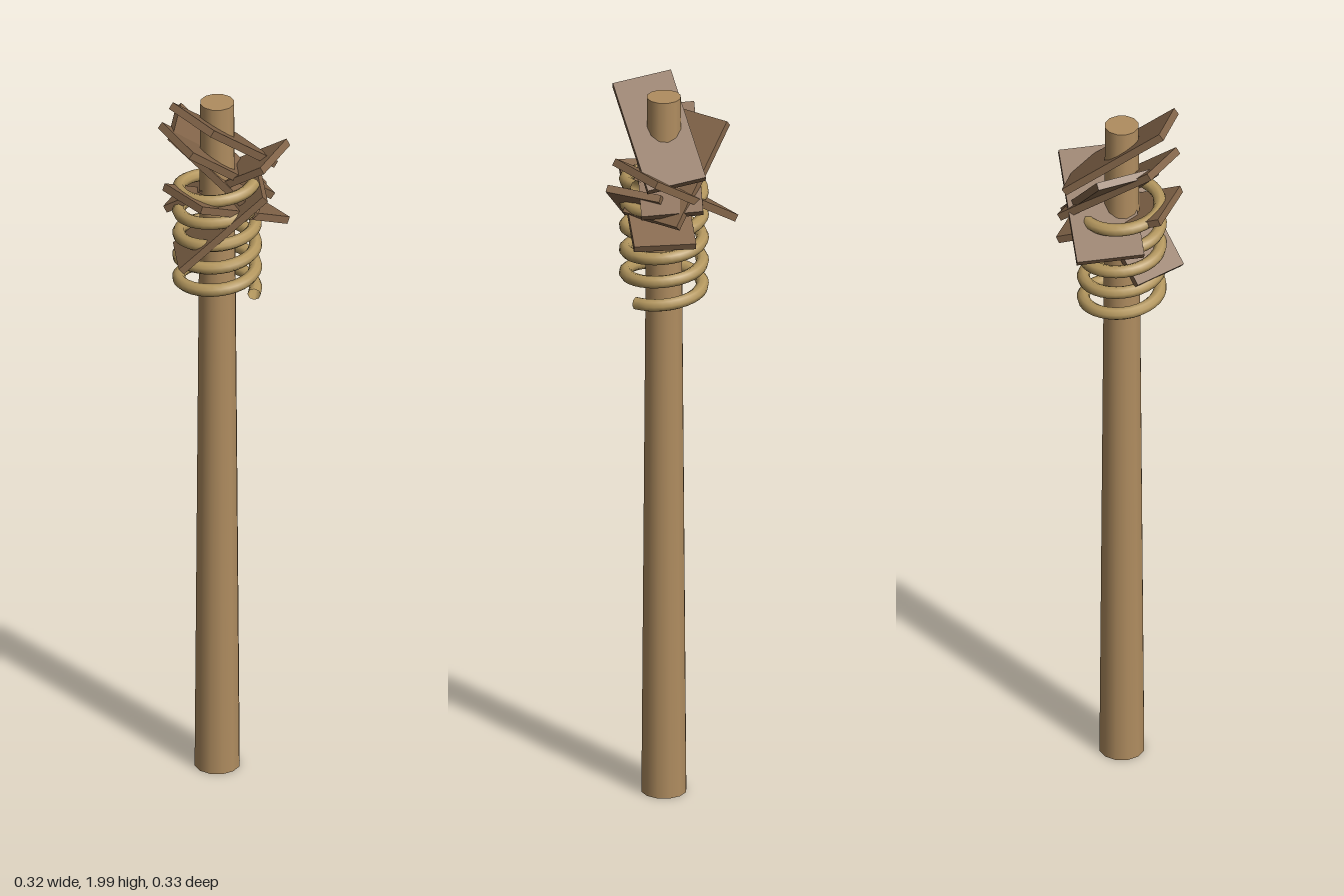
import * as THREE from 'three';

const mat = (color, extra = {}) => new THREE.MeshStandardMaterial({ color, ...extra });
const POLE_X = -0.012;

// A thin board given one corner, its short edge and its long edge
function board(corner, across, along, material) {
  const c = new THREE.Vector3(...corner);
  const a = new THREE.Vector3(...across);
  const l = new THREE.Vector3(...along);
  const centre = c.addScaledVector(a, 0.5).addScaledVector(l, 0.5);
  const zAxis = l.clone().normalize();
  const xAxis = a.clone().addScaledVector(zAxis, -a.dot(zAxis)).normalize();
  const yAxis = new THREE.Vector3().crossVectors(zAxis, xAxis);
  const mesh = new THREE.Mesh(new THREE.BoxGeometry(a.length(), 0.02, l.length()), material);
  mesh.quaternion.setFromRotationMatrix(new THREE.Matrix4().makeBasis(xAxis, yAxis, zAxis));
  mesh.position.copy(centre);
  return mesh;
}

export function createModel() {
  const group = new THREE.Group();

  // Tapered pole
  const pole = new THREE.Mesh(new THREE.CylinderGeometry(0.045, 0.06, 1.965, 12), mat(0xb08d60));
  pole.name = 'pole';
  pole.position.set(POLE_X, 1.965 / 2, 0);
  group.add(pole);

  // Rope wound loosely around the pole in five turns
  const turns = 5, points = [];
  for (let i = 0; i <= turns * 16; i++) {
    const t = i / 16, angle = t * Math.PI * 2;
    points.push(new THREE.Vector3(
      POLE_X + 0.1 * Math.cos(angle), 1.41 + 0.066 * t, -0.1 * Math.sin(angle)));
  }
  const rope = new THREE.Mesh(
    new THREE.TubeGeometry(new THREE.CatmullRomCurve3(points), turns * 32, 0.017, 8),
    mat(0xb5985f, { side: THREE.DoubleSide }));
  rope.name = 'ropeCoil';
  group.add(rope);

  // Tilted boards pierced by the pole: corner, short edge, long edge
  const wood = mat(0x84664a);
  const boards = new THREE.Group();
  boards.name = 'boards';
  [
    [[-0.115, 1.985, 0.085], [0.14, -0.03, 0.065], [0.1, -0.2, -0.235]],
    [[-0.162, 1.9, 0.045], [0.13, -0.03, 0.09], [0.16, -0.2, -0.2]],
    [[-0.148, 1.88, -0.1], [0.03, 0, 0.17], [0.22, -0.22, -0.04]],
    [[0.145, 1.805, -0.13], [-0.025, 0, 0.175], [-0.27, -0.17, -0.02]],
    [[0.162, 1.605, -0.07], [-0.135, 0, -0.09], [-0.165, 0.125, 0.23]],
    [[-0.065, 1.53, 0.15], [-0.055, 0, -0.14], [0.2, 0.2, -0.09]],
  ].forEach((b, i) => {
    const mesh = board(...b, wood);
    mesh.name = `board${i + 1}`;
    boards.add(mesh);
  });
  group.add(boards);

  return group;
}
